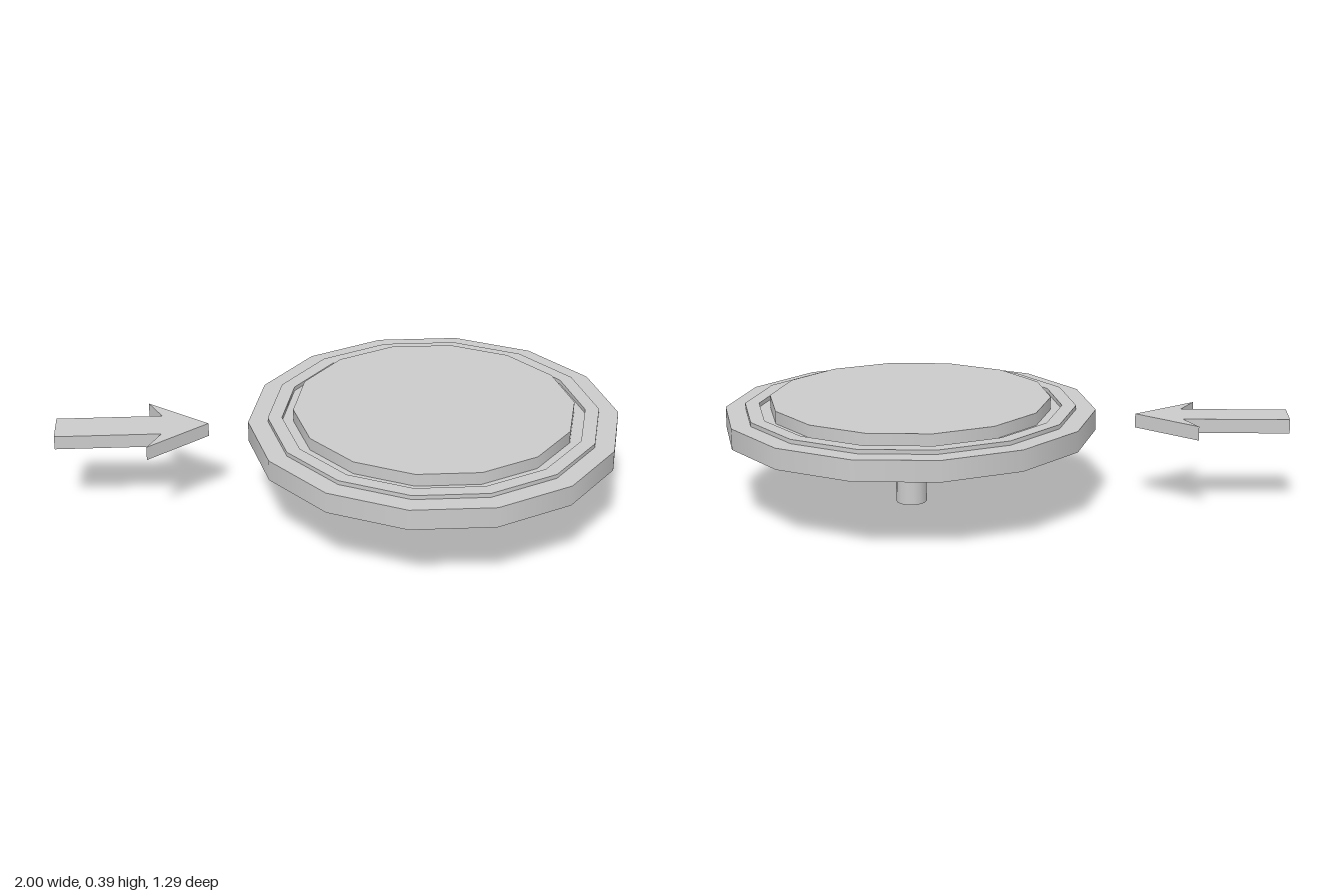
import * as THREE from 'three';
import { mergeGeometries } from 'three/addons/utils/BufferGeometryUtils.js';

const material = new THREE.MeshStandardMaterial({ color: 0xcccccc });
const SIDES = 14;
const CENTRE_X = 0.34;

// Turned part: smooth around the axis, sharp at every profile corner
function turned(name, profile, sides) {
  const bands = [];
  for (let i = 0; i < profile.length - 1; i++) {
    const pair = [profile[i], profile[i + 1]].map(([r, y]) => new THREE.Vector2(r, y));
    bands.push(new THREE.LatheGeometry(pair, sides, Math.PI / 2));
  }
  const mesh = new THREE.Mesh(mergeGeometries(bands), material);
  mesh.name = name;
  mesh.position.x = CENTRE_X;
  return mesh;
}

export function createModel() {
  const model = new THREE.Group();
  model.name = 'turntableWithArrow';

  // Platter: thick rim, low raised ring, groove, raised centre disc
  model.add(turned('platter', [
    [0, 0.27], [0.66, 0.27], [0.66, 0.345],
    [0.59, 0.345], [0.59, 0.36], [0.54, 0.36],
    [0.54, 0.345], [0.5, 0.345], [0.5, 0.39], [0, 0.39],
  ], SIDES));

  // Spindle below the platter
  model.add(turned('spindle', [[0, 0], [0.055, 0], [0.055, 0.27]], SIDES));

  // Flat arrow pointing at the platter, outlined in x and z
  const outline = [
    [-1, -0.083], [-0.625, -0.083], [-0.675, -0.182], [-0.46, -0.017],
    [-0.675, 0.148], [-0.625, 0.052], [-1, 0.052],
  ];
  const shape = new THREE.Shape(outline.map(([x, z]) => new THREE.Vector2(x, -z)));
  const arrowGeometry = new THREE.ExtrudeGeometry(shape, { depth: 0.05, bevelEnabled: false });
  arrowGeometry.rotateX(-Math.PI / 2);
  const arrow = new THREE.Mesh(arrowGeometry, material);
  arrow.name = 'arrow';
  arrow.position.y = 0.285;
  model.add(arrow);

  return model;
}
